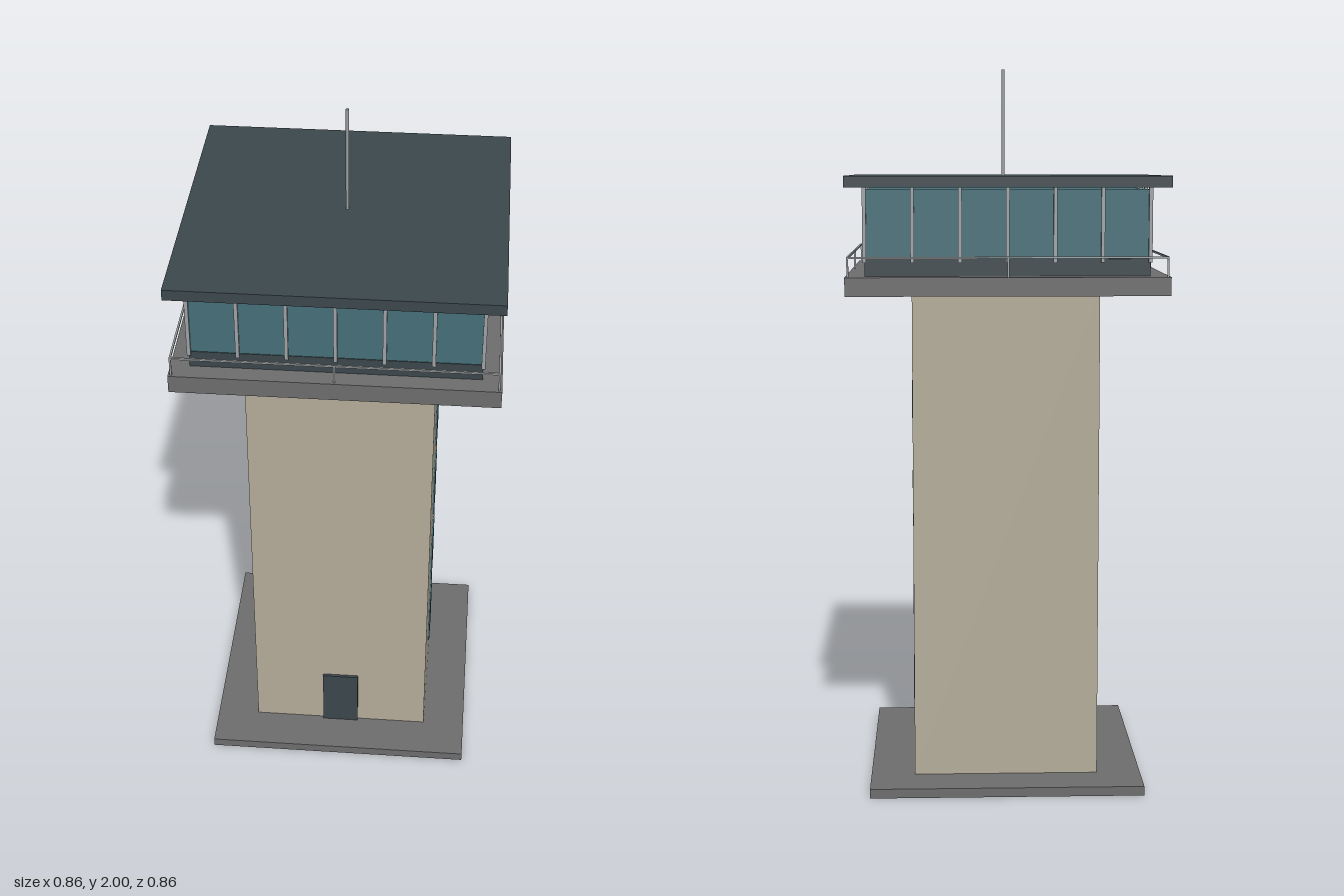
import * as THREE from 'three';

export function createModel() {
  const model = new THREE.Group();
  model.name = 'controlTower';

  const mat = (name, color) => {
    const m = new THREE.MeshStandardMaterial({ color });
    m.name = name;
    return m;
  };
  const wall = mat('sandWall', 0xb5ad9a);
  const concrete = mat('concreteGrey', 0x6e6e6e);
  const dark = mat('darkSlate', 0x3c484d);
  const glass = mat('tealGlass', 0x466f78);
  const metal = mat('lightMetal', 0xa0a4a6);

  // Box given by its size, bottom height and centre in x and z
  const box = (parent, name, material, w, h, d, y, x = 0, z = 0) => {
    const mesh = new THREE.Mesh(new THREE.BoxGeometry(w, h, d), material);
    mesh.name = name;
    mesh.position.set(x, y + h / 2, z);
    parent.add(mesh);
    return mesh;
  };

  // Ground slab, shaft and viewing deck
  box(model, 'baseSlab', concrete, 0.76, 0.026, 0.76, 0);
  box(model, 'shaft', wall, 0.515, 1.367, 0.515, 0.024);
  box(model, 'deck', concrete, 0.862, 0.05, 0.862, 1.39);

  // Door on the front
  box(model, 'door', dark, 0.106, 0.186, 0.009, 0.026, 0, 0.2615);

  // Four windows up each side
  for (const side of [-1, 1]) {
    for (let i = 0; i < 4; i++) {
      box(model, 'shaftWindow', glass, 0.009, 0.16, 0.106, 0.18 + i * 0.26, side * 0.2575, 0);
    }
  }

  // Cabin: sill, glazing and roof
  box(model, 'cabinSill', dark, 0.76, 0.046, 0.76, 1.44);
  box(model, 'cabinGlazing', glass, 0.756, 0.183, 0.756, 1.486);
  box(model, 'roof', dark, 0.862, 0.03, 0.862, 1.675);

  // Mullions and railing, repeated on four sides
  for (let s = 0; s < 4; s++) {
    const side = new THREE.Group();
    side.name = 'cabinSide';
    side.rotation.y = s * Math.PI / 2;
    for (let i = 0; i < 6; i++) {
      box(side, 'mullion', metal, 0.01, 0.199, 0.01, 1.476, -0.38 + i * 0.76 / 6, 0.38);
    }
    box(side, 'handrail', metal, 0.85, 0.005, 0.005, 1.489, 0, 0.423);
    for (const x of [-0.423, 0]) {
      box(side, 'railPost', metal, 0.005, 0.051, 0.005, 1.439, x, 0.423);
    }
    model.add(side);
  }

  // Roof antenna
  const antenna = new THREE.Mesh(new THREE.CylinderGeometry(0.005, 0.005, 0.296, 6), metal);
  antenna.name = 'antenna';
  antenna.position.y = 1.852;
  model.add(antenna);

  return model;
}
